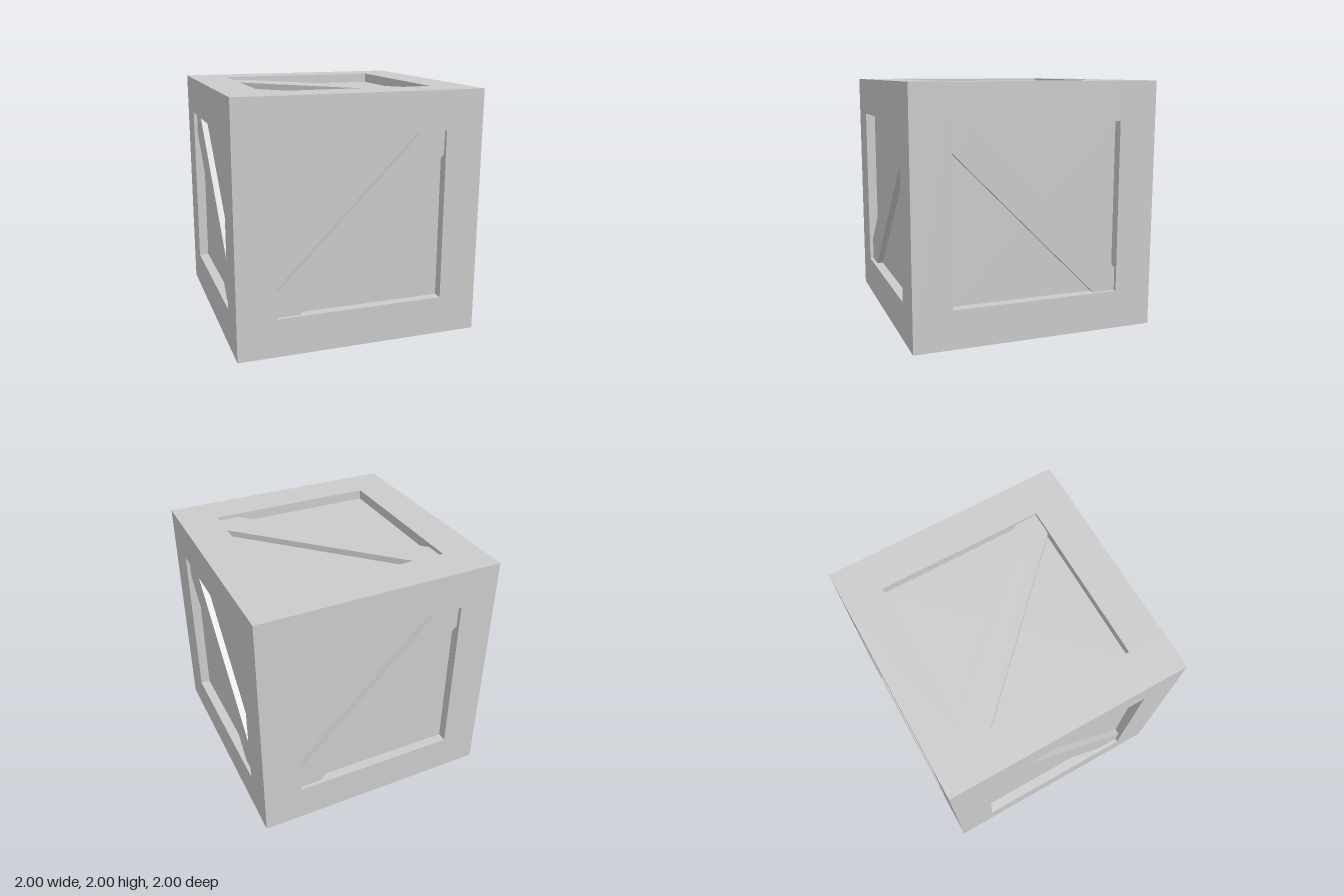
import * as THREE from 'three';

const HALF = 1;            // half the crate's side
const OPEN = 0.688;        // half the side of each framed opening
const PANEL = 0.92;        // distance of the panels from the centre
const BRACE = 0.97;        // distance of the brace faces from the centre
const BRACE_OFFSET = 0.19; // diagonal edges lie on y = x +/- this

const material = new THREE.MeshStandardMaterial({ color: 0xcccccc });

function addBox(parent, name, size, position) {
  const mesh = new THREE.Mesh(new THREE.BoxGeometry(...size), material);
  mesh.name = name;
  mesh.position.set(...position);
  parent.add(mesh);
}

export function createModel() {
  const crate = new THREE.Group();
  crate.name = 'crate';
  const body = new THREE.Group();
  body.name = 'body';
  body.position.y = HALF;
  crate.add(body);

  // Inner box whose six sides are the recessed panels
  addBox(body, 'panels', [2 * PANEL, 2 * PANEL, 2 * PANEL], [0, 0, 0]);

  // Frame: four corner posts with rails butted between them
  const bar = HALF - OPEN;
  const mid = (HALF + OPEN) / 2;
  for (const a of [-mid, mid]) {
    for (const b of [-mid, mid]) {
      addBox(body, 'cornerPost', [bar, 2 * HALF, bar], [a, 0, b]);
      addBox(body, 'crossRail', [2 * OPEN, bar, bar], [0, a, b]);
      addBox(body, 'sideRail', [bar, bar, 2 * OPEN], [a, b, 0]);
    }
  }

  // Diagonal plank with ends cut to fit the corners of the opening
  const end = OPEN - BRACE_OFFSET;
  const outline = new THREE.Shape([
    [-OPEN, -OPEN], [-end, -OPEN], [OPEN, end],
    [OPEN, OPEN], [end, OPEN], [-OPEN, -end],
  ].map(([x, y]) => new THREE.Vector2(x, y)));
  const braceGeometry = new THREE.ExtrudeGeometry(outline, {
    depth: BRACE - PANEL, bevelEnabled: false,
  });
  braceGeometry.translate(0, 0, PANEL);

  // One brace per side: name, tilt about x, turn about y, falling diagonal
  const q = Math.PI / 2;
  const sides = [
    ['frontBrace', 0, 0, false],
    ['leftBrace', 0, q, true],
    ['backBrace', 0, 2 * q, false],
    ['rightBrace', 0, -q, true],
    ['topBrace', -q, 0, true],
    ['bottomBrace', q, 0, false],
  ];
  for (const [name, tilt, turn, falling] of sides) {
    const brace = new THREE.Mesh(braceGeometry, material);
    brace.name = name;
    brace.rotation.set(tilt, turn, falling ? q : 0);
    body.add(brace);
  }

  return crate;
}
